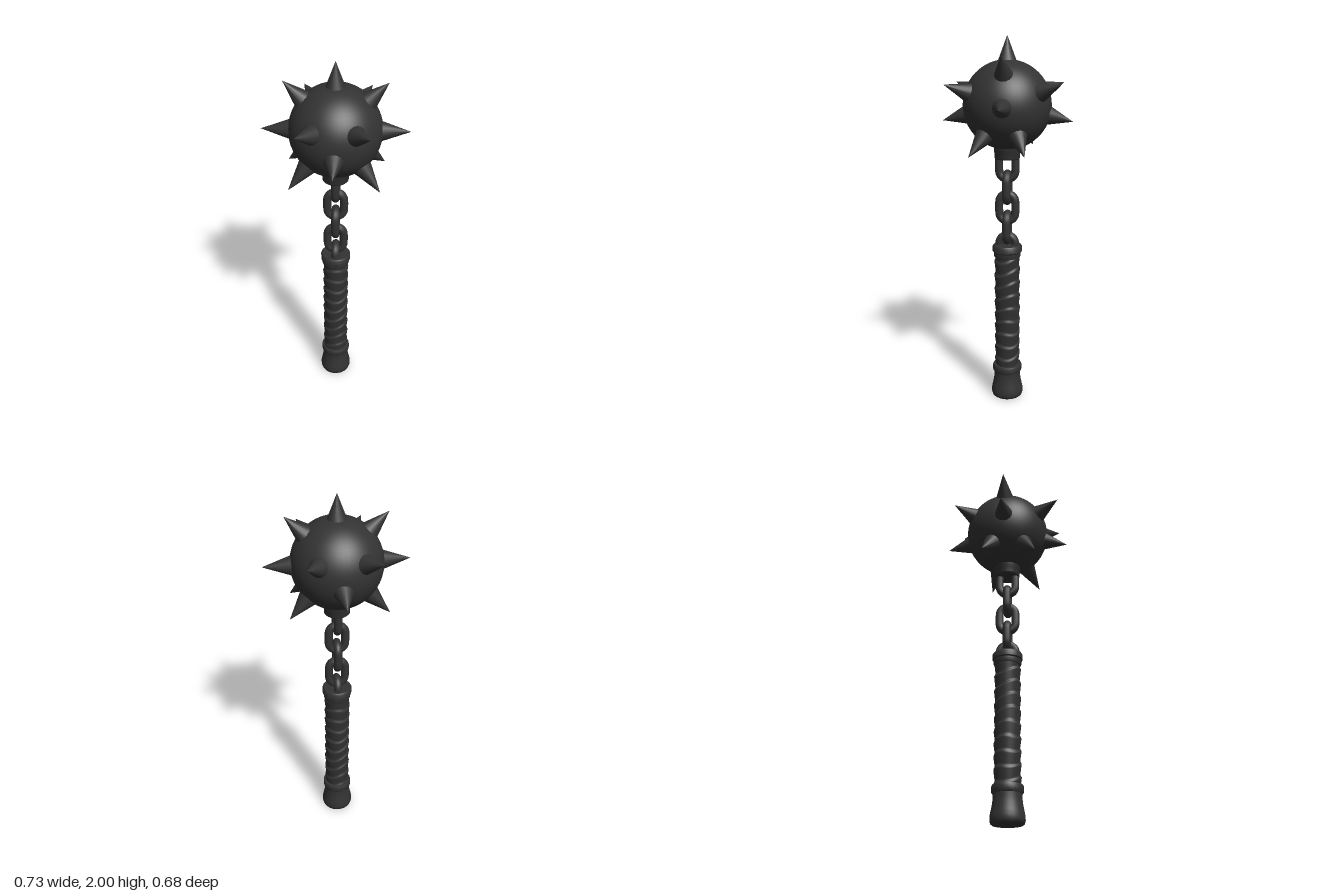
import * as THREE from 'three';
import { mergeVertices, toCreasedNormals } from 'three/addons/utils/BufferGeometryUtils.js';

const iron = new THREE.MeshStandardMaterial({ color: 0x333333 });
iron.name = 'dark iron';

function add(parent, name, geometry) {
  const mesh = new THREE.Mesh(geometry, iron);
  mesh.name = name;
  parent.add(mesh);
  return mesh;
}

// Turned part from [radius, height] pairs, bottom to top
function turned(profile, segments = 32) {
  const points = profile.map(([r, y]) => new THREE.Vector2(r, y));
  return toCreasedNormals(new THREE.LatheGeometry(points, segments), 0.7);
}

// Oval chain link in the XY plane
function linkGeometry() {
  const half = 0.043, straight = 0.031, points = [];
  for (let i = 0; i < 24; i++) {
    const a = ((i + 0.5) / 24) * Math.PI * 2;
    points.push(new THREE.Vector3(half * Math.cos(a), half * Math.sin(a) + Math.sign(Math.sin(a)) * straight, 0));
  }
  return new THREE.TubeGeometry(new THREE.CatmullRomCurve3(points, true), 56, 0.022, 12, true);
}

// Leather wrap: overlapping helical strips with a slightly uneven pitch
function wrapGeometry(bottom, top) {
  const g = new THREE.CylinderGeometry(1, 1, top - bottom, 48, 150, true);
  g.translate(0, (top + bottom) / 2, 0);
  const p = g.attributes.position;
  for (let i = 0; i < p.count; i++) {
    const x = p.getX(i), y = p.getY(i), z = p.getZ(i);
    const a = Math.atan2(z, x);
    const turn = (y - bottom) / 0.072 + a / (Math.PI * 2) + 0.16 * Math.sin(2 * a + y * 9) + 4;
    const f = turn - Math.floor(turn);
    const r = 0.0635 + 0.0075 * Math.min(f * 1.25, (1 - f) * 5);
    p.setXYZ(i, x * r, y, z * r);
  }
  g.deleteAttribute('uv');
  g.deleteAttribute('normal');
  const welded = mergeVertices(g, 1e-5);
  welded.computeVertexNormals();
  return welded;
}

export function createModel() {
  const model = new THREE.Group();
  model.name = 'flail';

  // Handle
  const handle = new THREE.Group();
  handle.name = 'handle';
  model.add(handle);
  add(handle, 'pommel', turned([
    [0, 0], [0.076, 0], [0.084, 0.006], [0.088, 0.02], [0.088, 0.04], [0.083, 0.065],
    [0.076, 0.1], [0.073, 0.13], [0.073, 0.16], [0, 0.16],
  ]));
  add(handle, 'lowerRing', turned([
    [0.06, 0.15], [0.077, 0.15], [0.081, 0.158], [0.081, 0.184], [0.077, 0.193], [0.06, 0.195],
  ]));
  add(handle, 'gripWrap', wrapGeometry(0.18, 0.84));
  add(handle, 'upperCap', turned([
    [0.06, 0.826], [0.07, 0.828], [0.074, 0.838], [0.074, 0.856], [0.08, 0.862],
    [0.08, 0.89], [0.074, 0.898], [0, 0.898],
  ]));

  // Chain, alternate links turned a quarter
  const chain = new THREE.Group();
  chain.name = 'chain';
  model.add(chain);
  const link = linkGeometry();
  [0.875, 0.995, 1.105, 1.215, 1.335].forEach((y, i) => {
    const mesh = add(chain, 'chainLink' + (i + 1), link);
    mesh.position.y = y;
    if (i % 2 === 0) mesh.rotation.y = Math.PI / 2;
  });

  // Spiked head
  const head = new THREE.Group();
  head.name = 'head';
  head.position.y = 1.65;
  model.add(head);
  add(head, 'ball', new THREE.SphereGeometry(0.231, 48, 32));
  add(head, 'collar', turned([
    [0, -0.282], [0.062, -0.282], [0.067, -0.276], [0.067, -0.25], [0.071, -0.244],
    [0.071, -0.215], [0.075, -0.205],
  ]));

  // Spike tips relative to the ball centre; those off the middle are mirrored
  const tips = [
    [0, 0.35, 0], [0, -0.083, 0.342], [0, -0.083, -0.342],
    [0.366, 0, 0], [0.25, 0.25, 0],
    [0.17, 0.11, 0.3], [0.175, 0.11, -0.285],
    [0.225, -0.245, 0.17], [0.25, -0.235, -0.115],
  ];
  const up = new THREE.Vector3(0, 1, 0);
  const sink = 0.2;
  for (const [x, y, z] of tips) {
    for (const side of x ? [1, -1] : [1]) {
      const tip = new THREE.Vector3(x * side, y, z);
      const length = tip.length() - sink;
      const direction = tip.clone().normalize();
      const spike = add(head, 'spike', new THREE.ConeGeometry(0.057, length, 16, 1, true));
      spike.quaternion.setFromUnitVectors(up, direction);
      spike.position.copy(direction).multiplyScalar(sink + length / 2);
    }
  }
  return model;
}
